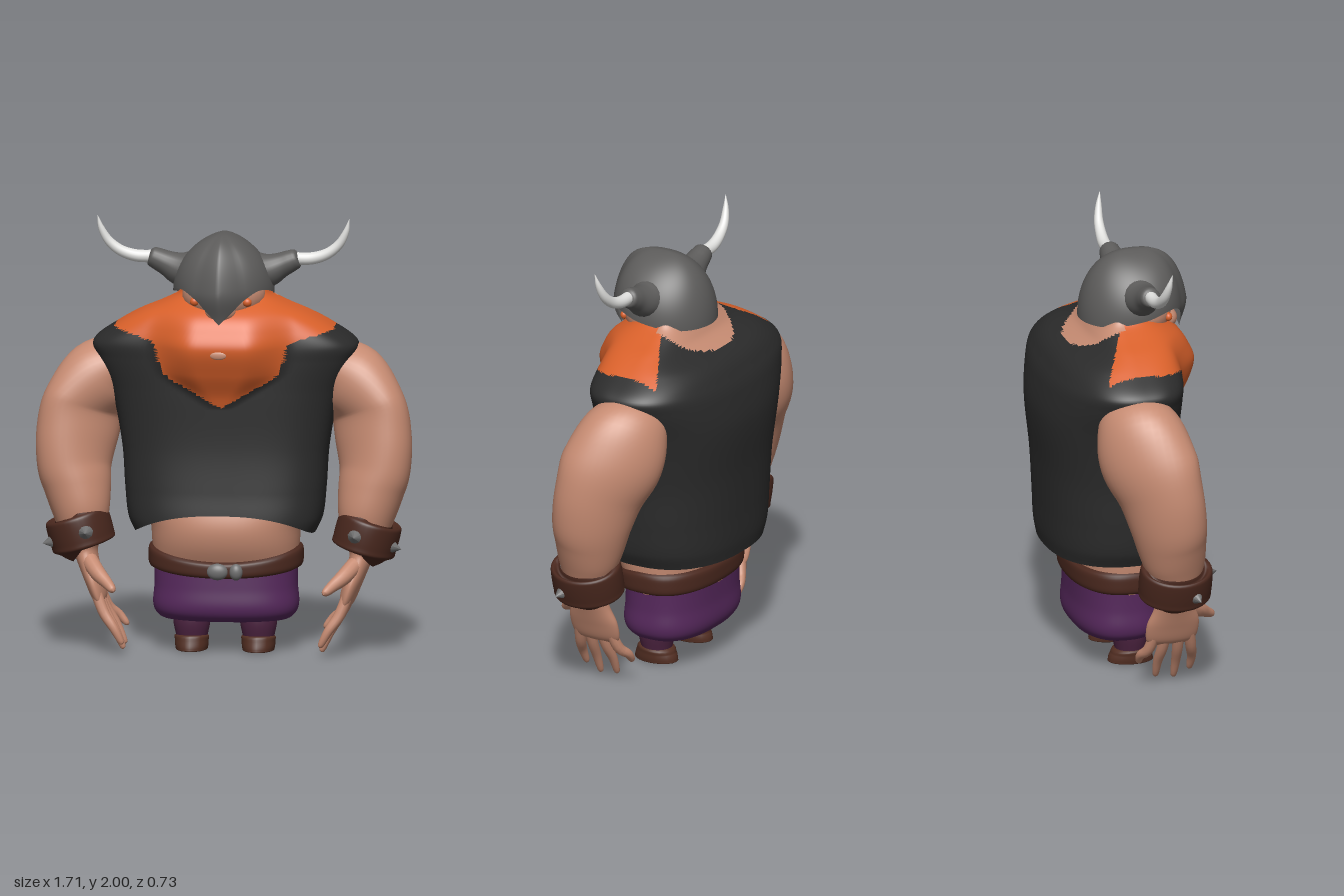
import * as THREE from 'three';

const mat = (name, color, side = THREE.FrontSide) => {
  const m = new THREE.MeshStandardMaterial({ color, side });
  m.name = name;
  return m;
};

// Smooth interpolation in rows [t, a, b, ...] of equal length
function sample(rows, t) {
  const n = rows.length - 1;
  let i = 0;
  while (i < n - 1 && t > rows[i + 1][0]) i++;
  const A = rows[i], B = rows[i + 1], h = B[0] - A[0];
  const k = Math.min(1, Math.max(0, (t - A[0]) / h));
  const slope = (j, c) => {
    const p = rows[Math.max(0, j - 1)], q = rows[Math.min(n, j + 1)];
    return (q[c] - p[c]) / (q[0] - p[0]);
  };
  return A.slice(1).map((a, c) => {
    const b = B[c + 1], k2 = k * k, k3 = k2 * k;
    return a * (2 * k3 - 3 * k2 + 1) + b * (3 * k2 - 2 * k3)
      + h * (slope(i, c + 1) * (k3 - 2 * k2 + k) + slope(i + 1, c + 1) * (k3 - k2));
  });
}

// Surface closed around u; classify(x, y, z) picks the material of each face
function surface(name, fn, nu, nv, materials, classify = () => 0) {
  const pos = [], buckets = materials.map(() => []);
  for (let j = 0; j <= nv; j++)
    for (let i = 0; i < nu; i++) pos.push(...fn((i / nu) * Math.PI * 2, j / nv));
  const addFace = (...ids) => {
    const mid = [0, 1, 2].map(c => ids.reduce((s, id) => s + pos[id * 3 + c], 0) / 3);
    buckets[classify(...mid)].push(...ids);
  };
  for (let j = 0; j < nv; j++)
    for (let i = 0; i < nu; i++) {
      const a = j * nu + i, b = j * nu + (i + 1) % nu;
      addFace(a, b, b + nu);
      addFace(a, b + nu, a + nu);
    }
  const g = new THREE.BufferGeometry();
  g.setAttribute('position', new THREE.Float32BufferAttribute(pos, 3));
  g.setIndex(buckets.flat());
  if (materials.length > 1) {
    let start = 0;
    buckets.forEach((b, i) => { g.addGroup(start, b.length, i); start += b.length; });
  }
  g.computeVertexNormals();
  const mesh = new THREE.Mesh(g, materials.length > 1 ? materials : materials[0]);
  mesh.name = name;
  return mesh;
}

// Point on a rounded horizontal section with separate front and back depth
function section(u, y, [hw, zf, zb], nf = 2, nb = 2) {
  const s = Math.sin(u), c = Math.cos(u), n = c > 0 ? nf : nb;
  const r = (Math.abs(s) ** n + Math.abs(c) ** n) ** (-1 / n);
  return [hw * r * s, y, (c > 0 ? zf : -zb) * r * c];
}

// Limb through rows [x, y, z, radius, depth radius, outward shear toward the front]; s mirrors it
function limb(name, rows, s, material, nu = 20, nv = 24) {
  const keyed = rows.map(([x, y, z, r, rz = r, shear = 0], i) => [i / (rows.length - 1), x * s, y, z, r, rz, shear * s]);
  const at = t => new THREE.Vector3(...sample(keyed, t).slice(0, 3));
  return surface(name, (u, v) => {
    const [x, y, z, r, rz, shear] = sample(keyed, v);
    const t = at(Math.min(1, v + 0.02)).sub(at(Math.max(0, v - 0.02))).normalize();
    const B = new THREE.Vector3(0, 0, 1).addScaledVector(t, -t.z).normalize();
    const N = B.clone().cross(t), depth = rz * Math.sin(u);
    return new THREE.Vector3(x + shear * depth, y, z).addScaledVector(N, r * Math.cos(u)).addScaledVector(B, depth).toArray();
  }, nu, nv, [material]);
}

export function createModel() {
  const model = new THREE.Group();
  const skin = mat('skin', 0xc68b72, THREE.DoubleSide), vest = mat('vest cloth', 0x2b2b2b, THREE.DoubleSide);
  const hair = mat('orange hair', 0xd8602a, THREE.DoubleSide), iron = mat('helmet iron', 0x5c5b5a, THREE.DoubleSide);
  const ivory = mat('horn', 0xe2e2e0), purple = mat('purple trousers', 0x56285c), legCloth = mat('leg wraps', 0x4c2340);
  const leather = mat('leather', 0x4a281e, THREE.DoubleSide), boot = mat('boots', 0x522e22), metal = mat('metal', 0x707070);
  const add = (...m) => model.add(...m);
  const ball = (name, m, p, r) => {
    const b = new THREE.Mesh(new THREE.SphereGeometry(1, 28, 18), m);
    b.name = name; b.position.set(...p); b.scale.set(...r);
    add(b);
  };

  // Torso: vest, beard over the chest and shoulders, and bare neck
  const torso = [[0.55, 0.41, 0.28, -0.32], [0.62, 0.44, 0.28, -0.33], [0.75, 0.455, 0.265, -0.335], [0.95, 0.47, 0.25, -0.345],
    [1.2, 0.52, 0.25, -0.365], [1.35, 0.585, 0.25, -0.345], [1.42, 0.598, 0.25, -0.32], [1.5, 0.49, 0.245, -0.265],
    [1.56, 0.385, 0.235, -0.15], [1.6, 0.29, 0.215, -0.115], [1.64, 0.215, 0.18, -0.09], [1.69, 0.19, 0.14, -0.06]];
  const bulge = [[1.14, 0, 0.05], [1.2, 0.02, 0.14], [1.3, 0.07, 0.28], [1.42, 0.108, 0.32], [1.5, 0.085, 0.32], [1.56, 0.055, 0.3], [1.62, 0, 0.28]];
  const beardEdge = [[0, 1.14], [0.15, 1.23], [0.27, 1.31], [0.3, 1.42], [0.34, 1.45], [0.5, 1.49]];
  add(surface('vestAndBeard', (u, v) => {
    const front = Math.cos(u) > 0;
    const across = Math.abs(section(u, 0, [1, 1, -1], 3, 2.4)[0]);
    const hem = front ? 0.55 + 0.1 * Math.max(0, 1 - across ** 2.5) : 0.55;
    const y = hem + (1.69 - hem) * v;
    const p = section(u, y, sample(torso, y), 3, 2.4);
    if (front && y > 1.14 && y < 1.62) {
      const [b, w] = sample(bulge, y);
      p[2] += b * (1 - THREE.MathUtils.smoothstep(Math.abs(p[0]) / w, 0.35, 1.05));
    }
    return p;
  }, 180, 140, [vest, hair, skin], (x, y, z) => {
    x = Math.abs(x);
    if (z < 0) {
      if (y < 1.44) return 0;
      if (x < 0.24) return z > -0.22 * Math.sqrt(1 - (x / 0.25) ** 2) ? 2 : 0;
      return x < 0.5 && z > -0.02 - 0.5 * (x - 0.22) ? 1 : 0;
    }
    return x < 0.5 && y > sample(beardEdge, x)[0] ? 1 : 0;
  }));

  // Face
  ball('face', skin, [0, 1.64, 0.1], [0.19, 0.13, 0.175]);
  ball('nose', skin, [0, 1.585, 0.25], [0.07, 0.05, 0.06]);
  ball('mouth', skin, [0, 1.4, 0.354], [0.038, 0.019, 0.008]);

  // Belly, belt and trousers
  const belly = [[0.38, 0.325, 0.2, -0.2], [0.5, 0.335, 0.255, -0.2], [0.6, 0.345, 0.265, -0.22], [0.74, 0.4, 0.22, -0.26]];
  add(surface('belly', (u, v) => section(u, 0.38 + 0.36 * v, sample(belly, 0.38 + 0.36 * v), 2.3, 2.3), 64, 16, [skin]));
  add(surface('belt', (u, v) => {
    const front = Math.max(0, Math.cos(u)) ** 2;
    const bottom = 0.385 - 0.03 * front, top = 0.49 - 0.06 * front;
    const puff = 0.022 * Math.sqrt(Math.max(0, 1 - (2 * v - 1) ** 4));
    return section(u, bottom + (top - bottom) * v, [0.33 + puff, 0.225 + puff, -0.2 - puff], 2.4, 2.4);
  }, 72, 12, [leather]));
  const hips = [[0, 0.001, 0.001, -0.001], [0.1, 0.25, 0.14, -0.15], [0.2, 0.305, 0.185, -0.185], [0.4, 0.33, 0.21, -0.205], [0.7, 0.325, 0.205, -0.2], [1, 0.325, 0.2, -0.2]];
  add(surface('trousers', (u, v) => section(u, 0.132 + 0.278 * v ** 1.4, sample(hips, v), 2.5, 2.5), 64, 30, [purple]));
  for (const x of [-0.015, 0.07]) ball('buckle', metal, [x, 0.39, 0.245], [x < 0 ? 0.048 : 0.03, 0.038, 0.027]);

  // Helmet: ridged dome, narrow at the crown, whose rim drops into a tucked nose guard
  const rim = [[0, 1.535], [0.25, 1.59], [0.5, 1.645], [0.9, 1.685], [1.6, 1.655], [2.3, 1.625], [3.15, 1.62]];
  add(surface('helmet', (u, v) => {
    const a = (1 - v) * Math.PI / 2, d = Math.min(u, Math.PI * 2 - u);
    const low = sample(rim, d)[0], r = Math.max(0.001, Math.sin(a));
    const c = Math.cos(u), peak = 0.04 * Math.max(0, 1 - d / 0.45);
    const y = low + (1.93 - low) * Math.cos(a);
    const depth = c > 0 ? (0.228 + peak) * r ** 0.62 : 0.25 * r ** 0.85;
    const tuck = 0.045 * (1 - THREE.MathUtils.smoothstep(y, 1.52, 1.68)) * Math.max(0, c);
    return [0.23 * r ** 1.25 * Math.sin(u), y, 0.1 + depth * c - tuck];
  }, 80, 40, [iron]));

  const fingers = [[0.2, 0.235, 0.06], [0.15, 0.16, 0.03], [0.09, 0.075, 0.04], [0.04, -0.005, 0.11]];
  for (const s of [1, -1]) {
    const side = s > 0 ? 'left' : 'right';
    const part = (name, rows, m, nu, nv) => add(limb(side + name, rows, s, m, nu, nv));
    ball(side + 'Eye', hair, [s * 0.12, 1.628, 0.236], [0.021, 0.02, 0.018]);

    // Horn and its socket
    part('HornSocket', [[0.13, 1.745, 0.09, 0.095], [0.2, 1.755, 0.09, 0.078], [0.26, 1.78, 0.09, 0.058], [0.305, 1.8, 0.09, 0.05], [0.335, 1.812, 0.09, 0.04], [0.342, 1.814, 0.09, 0.002]], iron);
    part('Horn', [[0.32, 1.81, 0.09, 0.029], [0.4, 1.812, 0.09, 0.028], [0.47, 1.835, 0.095, 0.025], [0.525, 1.88, 0.1, 0.021], [0.558, 1.94, 0.11, 0.014], [0.574, 2, 0.12, 0.001]], ivory);

    // Arm and palm
    part('Arm', [[0.45, 1.32, -0.03, 0.11, 0.15, 0.1], [0.555, 1.25, -0.025, 0.175, 0.19, 0.25], [0.642, 1.125, -0.01, 0.167, 0.207, 0.4],
      [0.676, 0.98, 0.035, 0.17, 0.182, 0.35], [0.685, 0.85, 0.065, 0.16, 0.168, 0.25], [0.668, 0.75, 0.085, 0.15, 0.157, 0.12],
      [0.65, 0.64, 0.105, 0.13, 0.14], [0.64, 0.54, 0.11, 0.1, 0.11], [0.63, 0.47, 0.11, 0.06, 0.085],
      [0.615, 0.41, 0.115, 0.048, 0.095], [0.588, 0.33, 0.118, 0.042, 0.122], [0.562, 0.25, 0.115, 0.032, 0.118], [0.548, 0.215, 0.115, 0.004, 0.09]], skin, 40, 72);
    for (const [z0, z1, y1] of fingers)
      part('Finger', [[0.572, 0.28, z0, 0.026], [0.535, 0.19, (z0 + z1) / 2, 0.025], [0.49, (y1 + 0.19) / 2, z1, 0.021], [0.455, y1, z1, 0.014], [0.449, y1 - 0.012, z1, 0.001]], skin, 12, 14);
    part('Thumb', [[0.605, 0.42, 0.17, 0.04], [0.56, 0.375, 0.24, 0.036], [0.515, 0.34, 0.29, 0.027], [0.485, 0.315, 0.33, 0.018], [0.478, 0.308, 0.342, 0.001]], skin, 12, 14);

    // Wristband with spikes
    part('Wristband', [[0.676, 0.63, 0.11, 0.1, 0.12], [0.674, 0.625, 0.11, 0.138, 0.158], [0.665, 0.595, 0.11, 0.147, 0.167],
      [0.643, 0.515, 0.11, 0.147, 0.167], [0.634, 0.483, 0.11, 0.138, 0.158], [0.632, 0.478, 0.11, 0.06, 0.08]], leather, 40, 30);
    for (const [p, d] of [[[0.785, 0.505, 0.175], [0.9, -0.2, 0.25]], [[0.615, 0.565, 0.282], [-0.1, 0.05, 1]]]) {
      const spike = new THREE.Mesh(new THREE.ConeGeometry(0.046, 0.07, 10), metal);
      spike.name = side + 'Spike';
      spike.position.set(p[0] * s, p[1], p[2]);
      spike.quaternion.setFromUnitVectors(new THREE.Vector3(0, 1, 0), new THREE.Vector3(d[0] * s, d[1], d[2]).normalize());
      add(spike);
    }

    // Leg and boot
    part('Leg', [[0.152, 0.2, 0.04, 0.085], [0.152, 0.13, 0.045, 0.084], [0.152, 0.06, 0.045, 0.07]], legCloth);
    part('Boot', [[0.152, 0.075, 0.045, 0.02], [0.152, 0.07, 0.045, 0.074, 0.08], [0.152, 0.045, 0.047, 0.077, 0.095], [0.152, 0.015, 0.047, 0.074, 0.105], [0.152, 0.003, 0.047, 0.064, 0.095], [0.152, 0, 0.047, 0.001]], boot);
  }
  return model;
}
